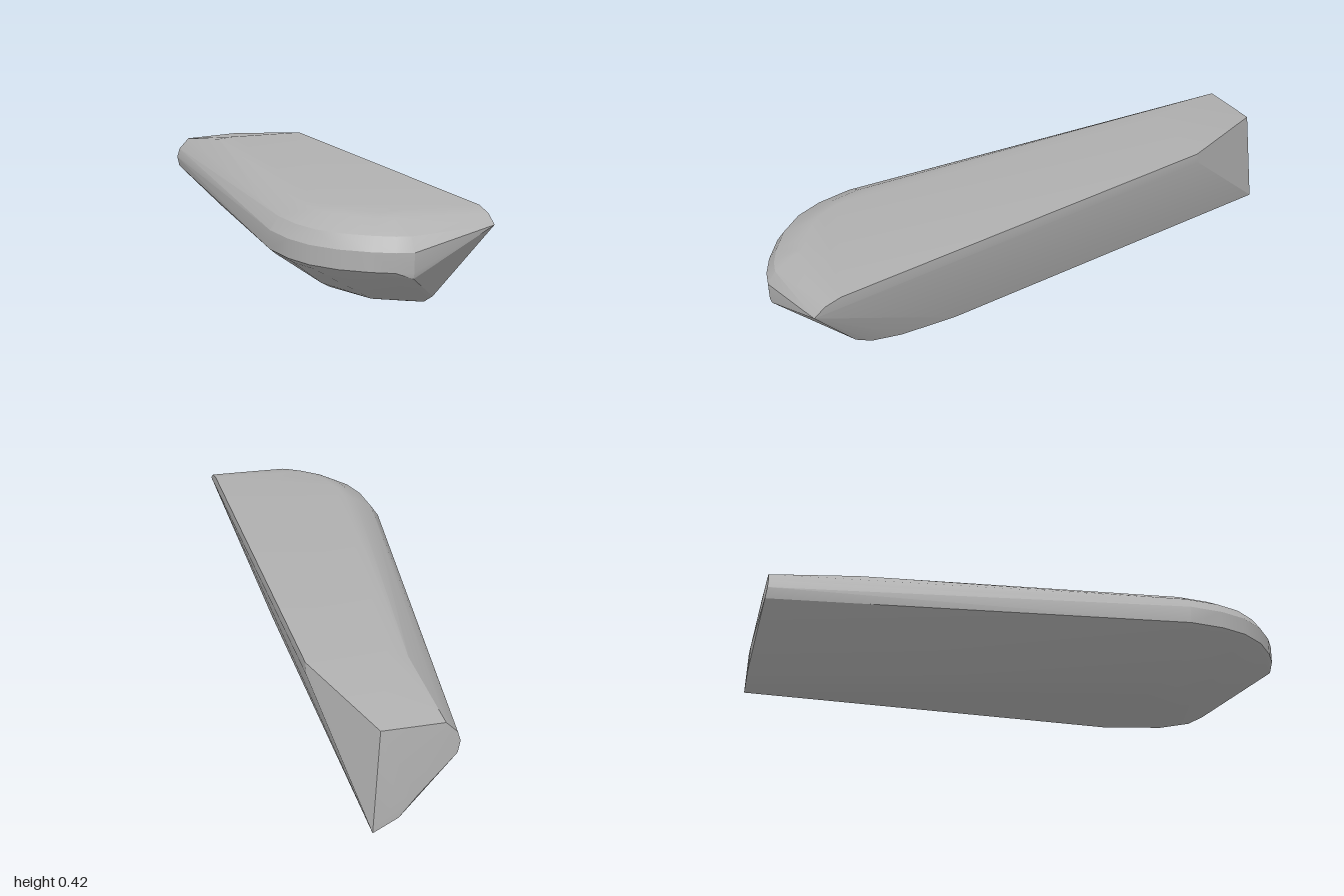
import * as THREE from 'three';
import { ConvexGeometry } from 'three/addons/geometries/ConvexGeometry.js';
import { toCreasedNormals } from 'three/addons/utils/BufferGeometryUtils.js';

export function createModel() {
  const group = new THREE.Group();
  const grey = new THREE.MeshStandardMaterial({ color: 0xb0b0b0 });
  grey.name = 'plain grey';
  const points = [];
  const add = (x, y, z) => points.push(new THREE.Vector3(x, y, z));

  // rounded nose: plan outline as x, z and the angle of its outward normal
  const rim = [
    [-0.3, 0.55, 4], [-0.29, 0.68, 12], [-0.26, 0.78, 24], [-0.2, 0.87, 40],
    [-0.12, 0.94, 52], [-0.055, 0.98, 65], [0, 1, 85],
  ];
  // height and inset of each layer of the rounded edge
  const layers = [[0.238, 0.02], [0.255, 0], [0.32, 0], [0.365, 0.03], [0.408, 0.1], [0.418, 0.14]];
  for (const [x, z, degrees] of rim) {
    const a = THREE.MathUtils.degToRad(degrees);
    for (const [y, inset] of layers) {
      add(x + Math.cos(a) * inset, y, z - Math.sin(a) * inset);
    }
  }
  add(0, 0.235, 0.995);

  // upper edge of the flat side
  add(0.3, 0.375, 0.97);
  add(0.3, 0.405, 0.93);
  add(0.3, 0.42, 0.87);
  add(0.3, 0.422, -0.6);
  add(0.3, 0.38, -0.61);

  // keel along the foot of the flat side, curving up to the nose
  add(0.187, 0, -1);
  add(0.187, 0.012, 0.38);
  add(0.187, 0.035, 0.6);
  add(0.187, 0.065, 0.72);
  add(0.187, 0.1, 0.78);

  // curved belly
  add(0.02, 0.06, 0.42);
  add(0.01, 0.085, 0.68);
  add(-0.05, 0.08, 0.48);
  add(-0.1, 0.11, 0.52);

  // sloping top and blunt tail
  add(0.02, 0.42, -0.62);
  add(-0.04, 0.411, -0.64);
  add(0.155, 0.37, -0.967);
  add(-0.06, 0.362, -0.967);
  add(-0.1, 0.32, -0.968);
  add(-0.11, 0.285, -0.97);
  add(-0.1, 0.245, -0.975);
  add(0.04, 0.12, -1);
  add(0.11, 0.12, -1);
  add(0.1, 0.045, -1);

  const body = new THREE.Mesh(toCreasedNormals(new ConvexGeometry(points), 0.35), grey);
  body.name = 'body';
  group.add(body);
  return group;
}
